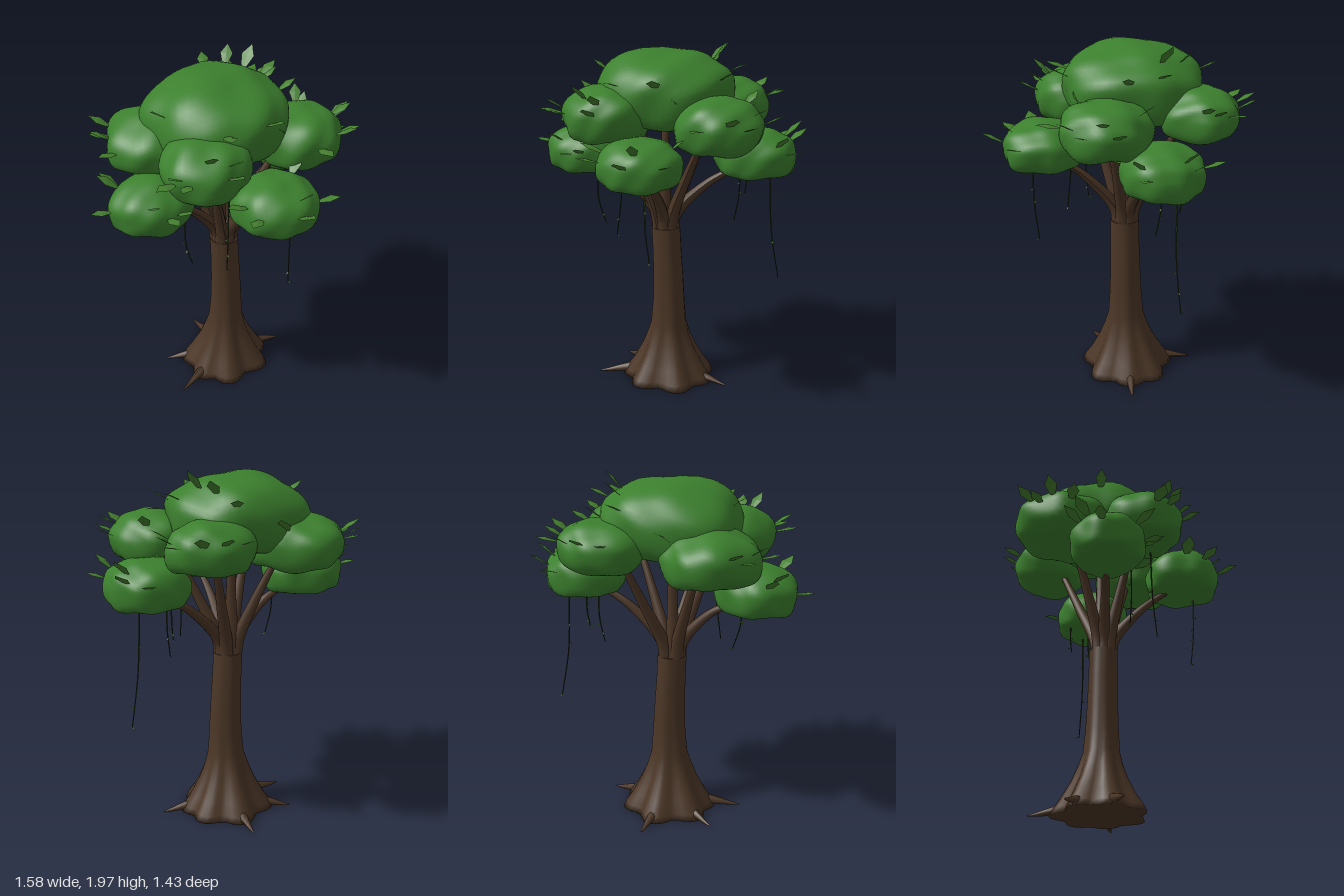
import * as THREE from 'three';
import { mergeVertices } from 'three/addons/utils/BufferGeometryUtils.js';

const V = (x, y, z) => new THREE.Vector3(x, y, z);
const mat = (color, extra = {}) => new THREE.MeshStandardMaterial({ color, roughness: 0.9, ...extra });
const bark = mat(0x4b3626);
const foliage = mat(0x3c802e);
const leafMat = mat(0x447f2f, { side: THREE.DoubleSide, flatShading: true });
const vineMat = mat(0x27351a);

// Foliage clumps: centre, radii, leaves as [angle from +x towards +z, height on the clump]
const clumps = [
  { c: [-0.005, 1.757, -0.113], r: [0.38, 0.195, 0.375], leaves: [[-50, 0.65], [-26, 0.72], [-15, 0.45], [12, 0.35], [75, 0.3], [110, 0.25], [172, 0.4], [-70, 0.4]] },
  { c: [-0.225, 1.64, 0.16], r: [0.23, 0.14, 0.23], leaves: [[85, 0.2], [110, 0.7], [138, 0.1], [150, 0.25], [158, 0.05], [80, 0.55]] },
  { c: [0.38, 1.612, 0.088], r: [0.235, 0.14, 0.235], leaves: [[-6, 0.15], [10, 0.5], [33, 0.1], [55, 0.3], [92, 0.1], [150, 0.6], [-60, 0.6]] },
  { c: [-0.292, 1.607, -0.275], r: [0.262, 0.14, 0.26], leaves: [[220, 0.3], [205, 0.1], [188, 0.3], [-50, 0.6], [165, 0.05]] },
  { c: [0.25, 1.638, -0.425], r: [0.23, 0.128, 0.21], leaves: [[-118, 0.3], [-90, 0.35], [-63, 0.3], [-32, 0.2], [-12, 0.3], [4, 0.4]] },
  { c: [-0.445, 1.392, -0.02], r: [0.225, 0.127, 0.2], leaves: [[183, 0.05], [230, 0.4], [112, 0.5], [90, 0.05], [75, 0.1], [215, 0.6]] },
  { c: [0.06, 1.44, 0.375], r: [0.225, 0.125, 0.215], leaves: [[39, 0.2], [87, 0.2], [141, 0.2], [75, 0.65], [-30, 0.6], [170, 0.4]] },
  { c: [0.505, 1.42, -0.185], r: [0.225, 0.125, 0.215], leaves: [[-44, 0.35], [-35, 0.65], [28, 0.2], [40, 0.5], [100, 0.3], [-75, 0.2]] },
];

// Point on a lumpy dome with a fuller, flattened underside, for a unit direction n
function clumpPoint({ c, r }, n, seed) {
  const lump = 1 + 0.045 * Math.sin(4 * n.x + 2.1 * seed + 2 * n.y) * Math.cos(3.5 * n.z - seed)
    + 0.025 * Math.sin(8 * n.z + 3 * n.x + seed) + 0.02 * Math.sin(9 * n.x - 5 * n.y + 2 * seed);
  const y = n.y > 0 ? 1.1 * n.y - 0.1 : -0.1 - 0.9 * Math.sin(Math.min(1, -n.y * 1.2) * Math.PI / 2);
  const h = Math.hypot(n.x, n.z) || 1;
  const bottomPower = c[1] < 1.5 ? 0.72 : 0.84;
  const k = Math.pow(h, n.y > 0 ? 0.97 : bottomPower) / h * lump;
  return V(c[0] + r[0] * n.x * k, c[1] + r[1] * y * lump, c[2] + r[2] * n.z * k);
}

function clumpGeometry(clump, seed) {
  let g = new THREE.IcosahedronGeometry(1, 9);
  g.deleteAttribute('normal');
  g.deleteAttribute('uv');
  g = mergeVertices(g, 1e-4);
  const p = g.attributes.position, n = V(0, 0, 0);
  for (let i = 0; i < p.count; i++) {
    const q = clumpPoint(clump, n.fromBufferAttribute(p, i).normalize(), seed);
    p.setXYZ(i, q.x, q.y, q.z);
  }
  g.computeVertexNormals();
  return g;
}

// Pointed leaf along +y, slightly folded along its midrib
function leafGeometry() {
  const g = new THREE.BufferGeometry();
  g.setAttribute('position', new THREE.Float32BufferAttribute([
    0, 0, 0, 0, 0.06, 0.003, 0, 0.115, -0.004, -0.016, 0.02, 0,
    -0.03, 0.065, 0, 0.016, 0.02, 0, 0.03, 0.065, 0], 3));
  g.setIndex([0, 1, 3, 3, 1, 4, 4, 1, 2, 0, 5, 1, 5, 6, 1, 6, 2, 1]);
  g.computeVertexNormals();
  return g;
}

function aimLeaf(mesh, pos, dir, face, scale) {
  const side = V(0, 0, 0).crossVectors(dir, face).normalize();
  const z = V(0, 0, 0).crossVectors(side, dir);
  mesh.quaternion.setFromRotationMatrix(new THREE.Matrix4().makeBasis(side, dir, z));
  mesh.position.copy(pos);
  mesh.scale.setScalar(scale);
}

// Tube that narrows from r0 to r1 along a curve
function taperTube(points, r0, r1, seg = 14, sides = 9) {
  const curve = new THREE.CatmullRomCurve3(points);
  const g = new THREE.TubeGeometry(curve, seg, 1, sides);
  const p = g.attributes.position, v = V(0, 0, 0);
  for (let i = 0; i < p.count; i++) {
    const t = Math.floor(i / (sides + 1)) / seg;
    const o = curve.getPointAt(t);
    v.fromBufferAttribute(p, i).sub(o).multiplyScalar(r0 + (r1 - r0) * t).add(o);
    p.setXYZ(i, v.x, v.y, v.z);
  }
  g.computeVertexNormals();
  return g;
}

// Root tips (x, z) and buttress directions around the trunk
const baseX = 0.035, baseZ = -0.09;
const roots = [[-0.35, 0.06], [0.41, -0.06], [0.02, -0.47], [-0.3, -0.24]];
const buttresses = [...roots, [0.25, -0.25], [0.2, 0.13], [-0.07, 0.14]].map(([x, z]) => Math.atan2(z - baseZ, x - baseX));

// Trunk: stacked rings [y, radius, buttress depth, centre x, centre z]
function trunkGeometry() {
  const rings = [[0.02, 0, 0, 0.035, -0.09], [0.015, 0.18, 0.09, 0.035, -0.09], [0.05, 0.175, 0.078, 0.035, -0.09],
    [0.11, 0.152, 0.06, 0.035, -0.09], [0.2, 0.122, 0.04, 0.035, -0.087], [0.28, 0.102, 0.026, 0.035, -0.085],
    [0.36, 0.091, 0.012, 0.037, -0.082], [0.5, 0.085, 0.007, 0.038, -0.08], [0.65, 0.081, 0.005, 0.035, -0.078],
    [0.8, 0.078, 0.004, 0.028, -0.076], [0.95, 0.077, 0.004, 0.021, -0.074],
    [0.95, 0.077, 0.004, 0.021, -0.074], [0.94, 0, 0, 0.021, -0.074]];
  const N = 42, pos = [], idx = [];
  rings.forEach(([y, r, d, cx, cz], j) => {
    for (let i = 0; i < N; i++) {
      const a = i / N * Math.PI * 2;
      const lobe = Math.max(...buttresses.map(b => Math.exp(-9 * (1 - Math.cos(a - b)))));
      const R = r + d * lobe;
      pos.push(cx + R * Math.cos(a), y, cz + R * Math.sin(a));
      const b = j * N + i, b2 = j * N + (i + 1) % N;
      if (j < rings.length - 1) idx.push(b, b + N, b2, b2, b + N, b2 + N);
    }
  });
  const g = new THREE.BufferGeometry();
  g.setAttribute('position', new THREE.Float32BufferAttribute(pos, 3));
  g.setIndex(idx);
  g.computeVertexNormals();
  return g;
}

export function createModel() {
  const tree = new THREE.Group();
  tree.name = 'tree';
  const groups = {};
  const add = (group, name, geo, material) => {
    if (!groups[group]) {
      groups[group] = new THREE.Group();
      groups[group].name = group;
      tree.add(groups[group]);
    }
    const m = new THREE.Mesh(geo, material);
    m.name = name;
    groups[group].add(m);
    return m;
  };

  add('trunk', 'trunkBody', trunkGeometry(), bark);

  // Thin root ends
  roots.forEach(([x, z]) => {
    const at = (t, y) => V(baseX + (x - baseX) * t, y, baseZ + (z - baseZ) * t);
    add('roots', 'root', taperTube([at(0.45, 0.055), at(0.7, 0.042), at(0.88, 0.028), at(1, 0.022)], 0.035, 0.004), bark);
  });

  // Branches fan out from the trunk top into the clumps
  clumps.forEach((clump) => {
    const [cx, cy, cz] = clump.c, low = cy < 1.5;
    const bx = 0.02, bz = -0.075, dx = cx - bx, dz = cz - bz, L = Math.hypot(dx, dz);
    const at = (t, y) => V(bx + dx * t, y, bz + dz * t);
    const s = Math.min(0.4, 0.035 / L), endY = cy - (low ? 0.09 : 0.05);
    const pts = [at(s, 0.9), at(s * 1.5, 1.02),
      at(low ? 0.48 : 0.42, low ? 1.22 : 1.27), at(low ? 0.85 : 0.8, endY)];
    add('branches', 'branch', taperTube(pts, 0.042, 0.014, 18), bark);
  });

  // Foliage clumps with leaves standing out of them
  const leaf = leafGeometry();
  clumps.forEach((clump, k) => {
    add('canopy', 'foliageClump', clumpGeometry(clump, k + 1), foliage);
    clump.leaves.forEach(([deg, h], i) => {
      const a = deg * Math.PI / 180, w = Math.sqrt(1 - h * h);
      const n = V(Math.cos(a) * w, h, Math.sin(a) * w);
      const dir = V(n.x, n.y * 0.6 + 0.3 + 0.15 * Math.sin(i * 2.3 + k), n.z).normalize();
      const face = V(-n.x * 0.4, 1, -n.z * 0.4);
      const pos = clumpPoint(clump, n, k + 1).addScaledVector(dir, -0.015);
      aimLeaf(add('leaves', 'leaf', leaf, leafMat), pos, dir, face, 1.15 + 0.12 * Math.sin(i * 1.7 + k));
    });
  });

  // Hanging vines: top, sway and end, with tiny leaves
  const vines = [
    [V(0.57, 1.34, -0.25), V(0.59, 0.95, -0.25), V(0.635, 0.66, -0.27)],
    [V(-0.32, 1.32, 0.1), V(-0.315, 1.12, 0.1), V(-0.275, 0.98, 0.09)],
    [V(-0.11, 1.55, 0.2), V(-0.12, 1.2, 0.21), V(-0.14, 0.97, 0.23)],
    [V(0.12, 1.36, 0.44), V(0.12, 1.1, 0.435), V(0.135, 0.91, 0.415)],
    [V(0.41, 1.34, -0.2), V(0.41, 1.15, -0.2), V(0.39, 1.0, -0.18)],
    [V(0.42, 1.34, -0.31), V(0.42, 1.22, -0.31), V(0.41, 1.13, -0.3)],
  ];
  vines.forEach((pts, k) => {
    add('vines', 'vine', taperTube(pts, 0.005, 0.003, 16, 5), vineMat);
    const curve = new THREE.CatmullRomCurve3(pts);
    for (let t = 0.35; t < 1.01; t += 0.16) {
      const a = t * 30 + k;
      const dir = V(Math.cos(a), -0.5, Math.sin(a)).normalize();
      aimLeaf(add('vines', 'vineLeaf', leaf, leafMat), curve.getPointAt(Math.min(1, t)), dir, V(0, 1, 0), 0.2);
    }
  });
  return tree;
}
